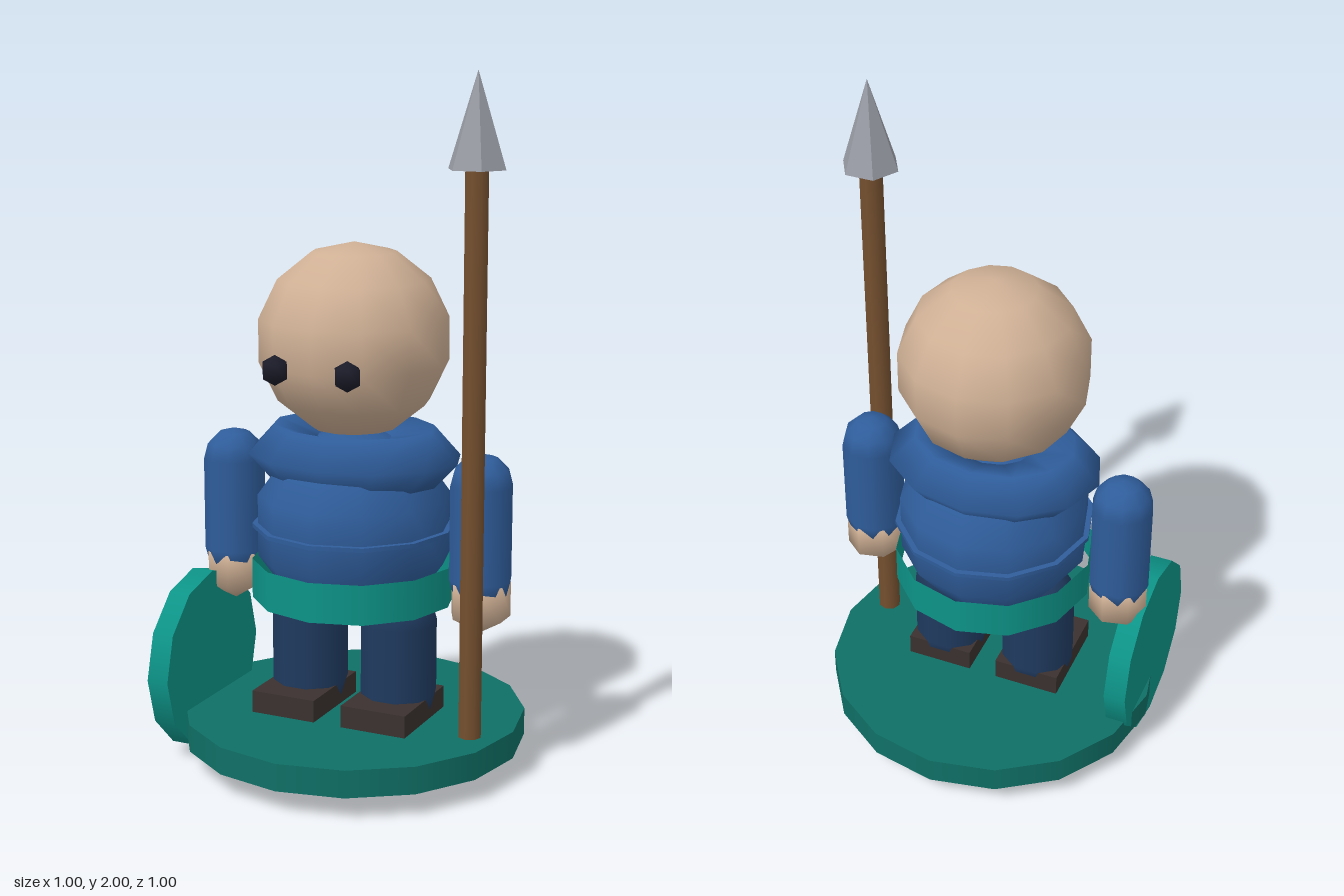
import * as THREE from 'three';

const mat = (name, color, extra = {}) => {
  const m = new THREE.MeshStandardMaterial({ color, ...extra });
  m.name = name;
  return m;
};

export function createModel() {
  const skin = mat('skin', 0xcfb095);
  const tunic = mat('tunic blue', 0x2f5d9b);
  const navy = mat('trouser navy', 0x1f3a5f);
  const teal = mat('bright teal', 0x0d9488, { side: THREE.DoubleSide });
  const deepTeal = mat('deep teal', 0x0f7066);
  const leather = mat('dark leather', 0x3a312f);
  const wood = mat('wood', 0x75502f);
  const steel = mat('steel', 0x9a9da6, { flatShading: true });
  const black = mat('eye black', 0x1c1c2a);

  const model = new THREE.Group();
  model.name = 'spearGuard';
  const add = (name, geometry, material, x, y, z) => {
    const mesh = new THREE.Mesh(geometry, material);
    mesh.name = name;
    mesh.position.set(x, y, z);
    model.add(mesh);
    return mesh;
  };

  // Round display base
  add('base', new THREE.CylinderGeometry(0.5, 0.5, 0.08, 16), deepTeal, 0, 0.11, 0);

  // Body, waist seam, open belt and collar
  add('torso', new THREE.SphereGeometry(0.292, 12, 5), tunic, 0, 0.705, 0);
  add('torsoSeam', new THREE.CylinderGeometry(0.294, 0.294, 0.012, 12), tunic, 0, 0.705, 0);
  add('belt', new THREE.CylinderGeometry(0.295, 0.295, 0.115, 12, 1, true), teal, 0, 0.548, 0);
  const collar = new THREE.TorusGeometry(0.16, 0.09, 5, 12).rotateX(Math.PI / 2).scale(1.28, 1, 1);
  add('collar', collar, tunic, 0, 0.91, 0);

  // Head
  add('head', new THREE.SphereGeometry(0.278, 12, 7), skin, 0, 1.242, 0);

  // Paired parts
  for (const [side, s] of [['left', 1], ['right', -1]]) {
    add(side + 'Eye', new THREE.SphereGeometry(0.043, 6, 3), black, s * 0.11, 1.19, 0.273);
    add(side + 'Arm', new THREE.CapsuleGeometry(0.09, 0.27, 3, 10), tunic, s * 0.393, 0.725, 0);
    add(side + 'Hand', new THREE.SphereGeometry(0.1, 7, 3), skin, s * 0.393, 0.53, 0);
    add(side + 'Leg', new THREE.CapsuleGeometry(0.112, 0.21, 3, 10), navy, s * 0.143, 0.325, 0);
    add(side + 'Shoe', new THREE.BoxGeometry(0.2, 0.09, 0.28), leather, s * 0.143, 0.17, 0.04);
  }

  // Shield standing beside the right hand
  const disc = new THREE.CylinderGeometry(0.266, 0.266, 0.066, 12).rotateZ(Math.PI / 2);
  add('shield', disc, teal, -0.45, 0.268, 0.1);

  // Spear
  add('spearShaft', new THREE.CylinderGeometry(0.034, 0.034, 1.62, 8), wood, 0.4, 0.94, 0.082);
  add('spearHead', new THREE.ConeGeometry(0.083, 0.26, 6).rotateY(Math.PI / 6), steel, 0.4, 1.87, 0.082);

  return model;
}
